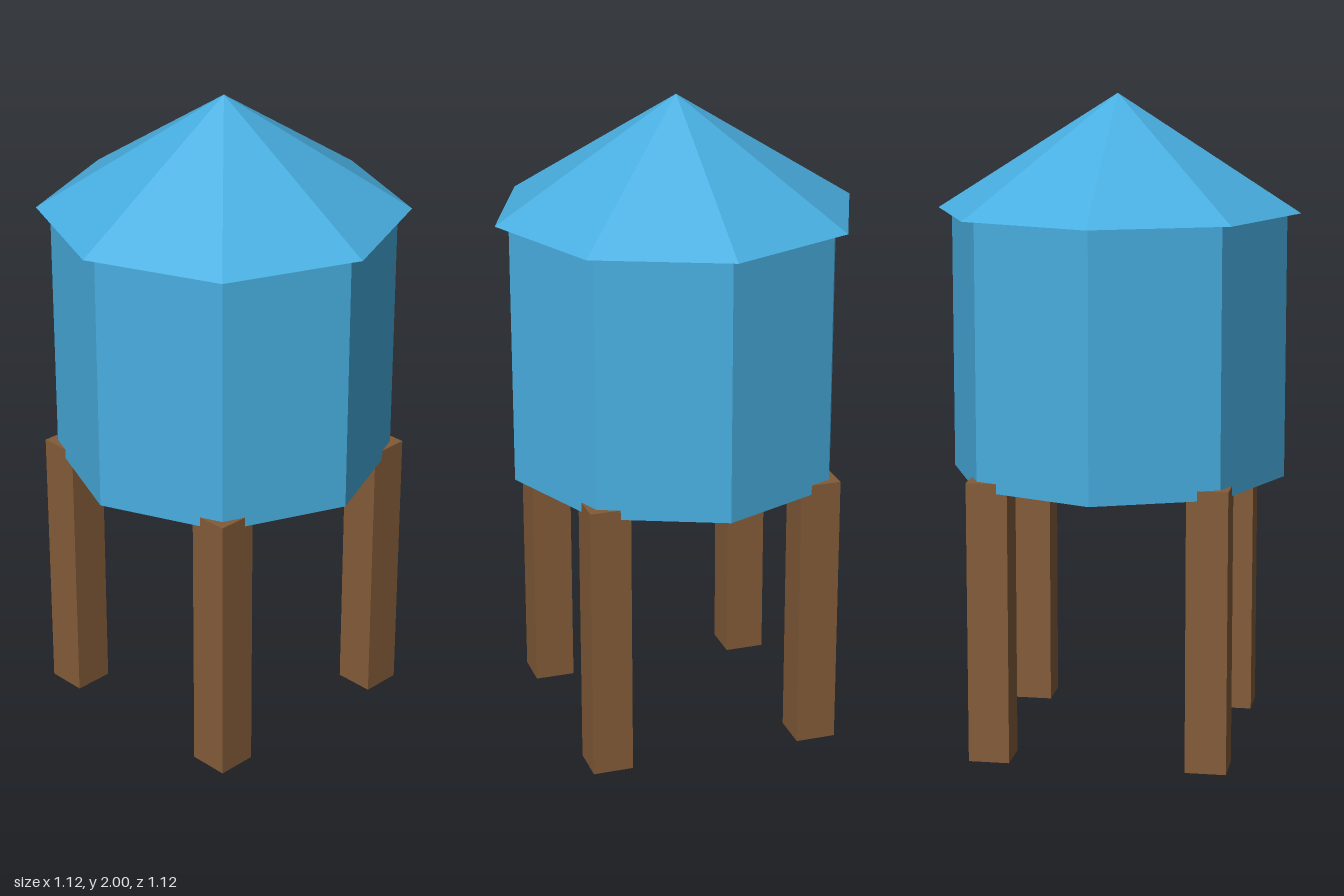
import * as THREE from 'three';

const blue = new THREE.MeshStandardMaterial({ color: 0x48aee0, flatShading: true });
const brown = new THREE.MeshStandardMaterial({ color: 0x835b38, flatShading: true });

// Adds a named mesh whose base sits at height y
function addPart(group, name, geometry, material, x, y, z) {
  geometry.computeBoundingBox();
  const mesh = new THREE.Mesh(geometry, material);
  mesh.name = name;
  mesh.position.set(x, y - geometry.boundingBox.min.y, z);
  group.add(mesh);
}

export function createModel() {
  const tower = new THREE.Group();
  tower.name = 'waterTower';

  // Eight-sided tank and overhanging pointed roof
  addPart(tower, 'tank', new THREE.CylinderGeometry(0.518, 0.518, 0.81, 8), blue, 0, 0.835, 0);
  addPart(tower, 'roof', new THREE.ConeGeometry(0.56, 0.355, 8), blue, 0, 1.645, 0);

  // Four square legs, their tops reaching slightly into the tank
  for (const [front, sz] of [['front', 1], ['back', -1]]) {
    for (const [side, sx] of [['Left', 1], ['Right', -1]]) {
      addPart(tower, `${front}${side}Leg`, new THREE.BoxGeometry(0.125, 0.865, 0.125),
        brown, sx * 0.331, 0, sz * 0.331);
    }
  }
  return tower;
}
